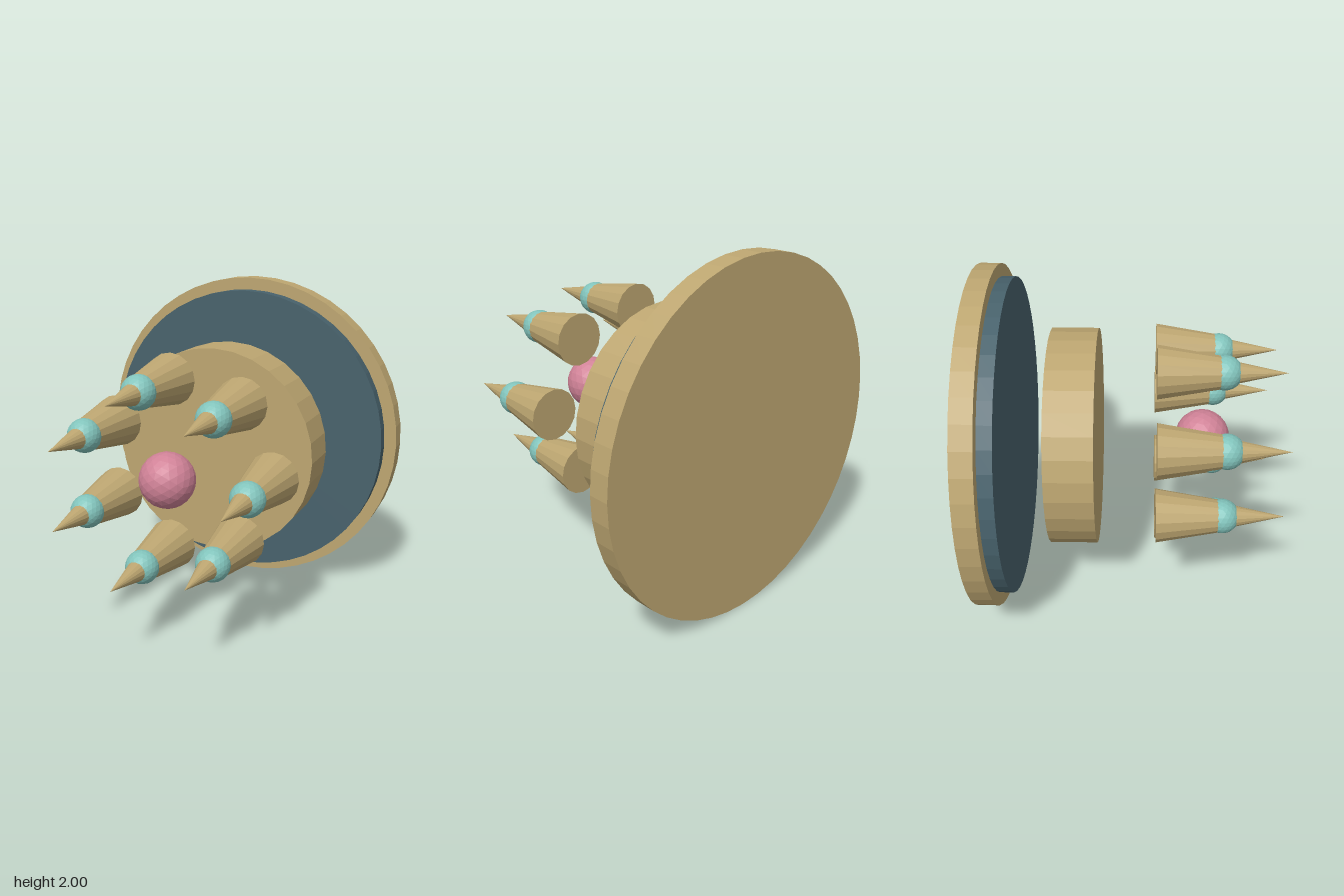
import * as THREE from 'three';

const paint = (name, color) => {
  const m = new THREE.MeshStandardMaterial({ color, flatShading: true });
  m.name = name;
  return m;
};

export function createModel() {
  const sand = paint('sand', 0xbda671);
  const slate = paint('slate', 0x48626c);
  const aqua = paint('aqua', 0x82c4bc);
  const rose = paint('rose', 0xd08297);

  const model = new THREE.Group();
  model.name = 'crownedDisc';

  const add = (parent, name, geometry, material, x, y, z) => {
    const mesh = new THREE.Mesh(geometry, material);
    mesh.name = name;
    mesh.position.set(x, y, z);
    parent.add(mesh);
    return mesh;
  };

  // Round solid lying along z, from z0 (back) to z1 (front)
  const round = (rBack, rFront, z0, z1, sides) =>
    new THREE.CylinderGeometry(rFront, rBack, z1 - z0, sides)
      .rotateX(Math.PI / 2)
      .translate(0, 0, (z0 + z1) / 2);

  // Stacked discs
  add(model, 'backPlate', round(1, 1, -0.87, -0.75, 48), sand, 0, 1, 0);
  add(model, 'slatePlate', round(0.926, 0.926, -0.75, -0.67, 48), slate, 0, 1, 0);
  add(model, 'middleDrum', round(0.635, 0.635, -0.465, -0.195, 32), sand, 0, 1, 0);

  // Central ball
  add(model, 'centreBall', new THREE.IcosahedronGeometry(0.16, 3), rose, 0, 1, 0.415);

  // Ring of seven spires pointing forward
  const baseGeo = round(0.152, 0.092, 0.14, 0.5, 16);
  const ballGeo = new THREE.IcosahedronGeometry(0.098, 3);
  const tipGeo = round(0.078, 0, 0.5, 0.863, 16);
  for (let i = 0; i < 7; i++) {
    const a = (i / 7) * Math.PI * 2;
    const spire = new THREE.Group();
    spire.name = 'spire' + (i + 1);
    spire.position.set(0.517 * Math.cos(a), 1 + 0.517 * Math.sin(a), 0);
    add(spire, 'spireBase', baseGeo, sand, 0, 0, 0);
    add(spire, 'spireBall', ballGeo, aqua, 0, 0, 0.513);
    add(spire, 'spireTip', tipGeo, sand, 0, 0, 0);
    model.add(spire);
  }
  return model;
}
